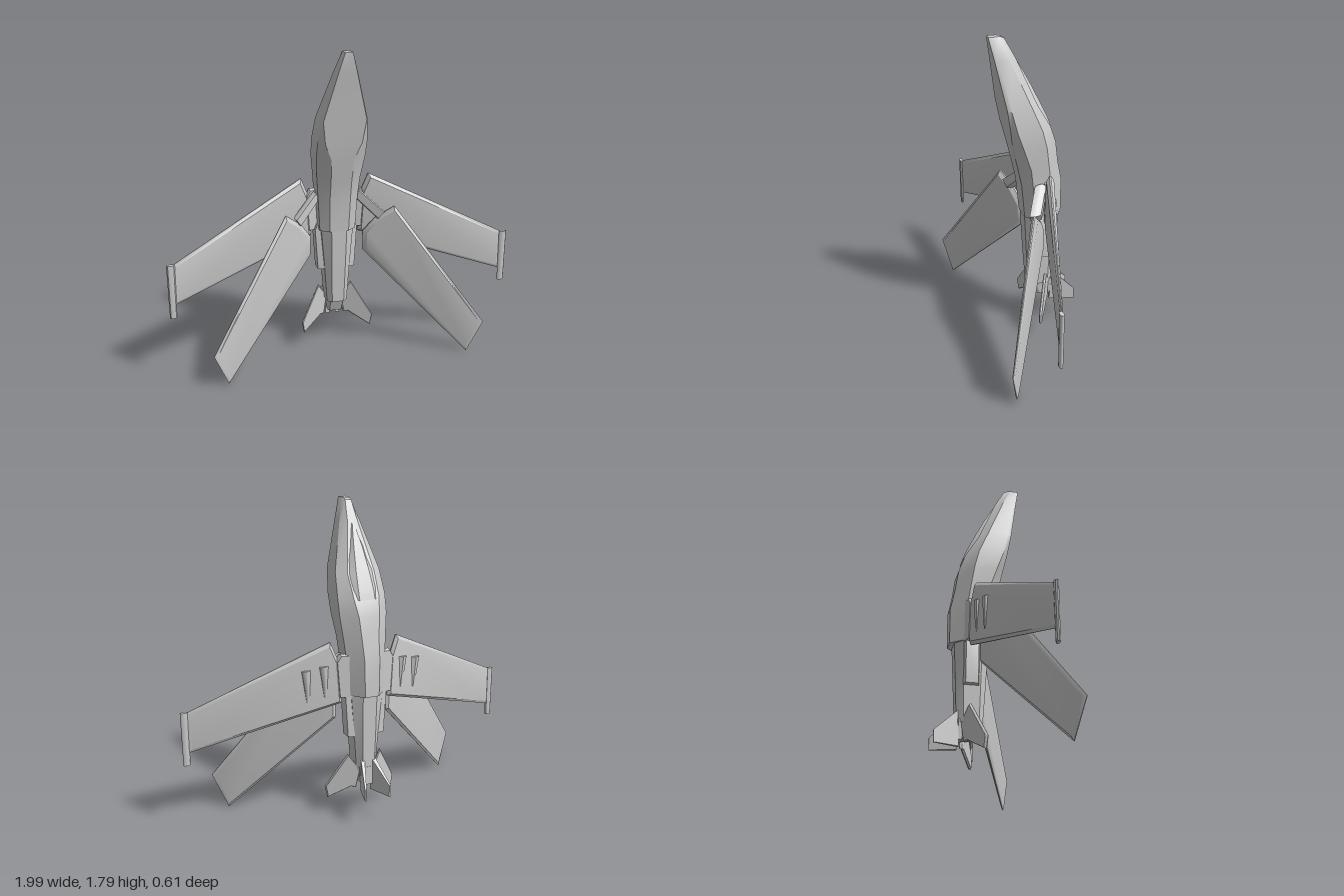
import * as THREE from 'three';
import { toCreasedNormals } from 'three/addons/utils/BufferGeometryUtils.js';

const material = new THREE.MeshStandardMaterial({ color: 0xcccccc });

function finish(positions) {
  const g = new THREE.BufferGeometry();
  g.setAttribute('position', new THREE.Float32BufferAttribute(positions, 3));
  return toCreasedNormals(g, 0.5);
}

// Skin rings of [x, y, z] ordered bottom to top, each running front -> +x -> back -> -x
function loft(rings) {
  const out = [], n = rings[0].length;
  const tri = (a, b, c) => out.push(...a, ...b, ...c);
  for (let i = 0; i < rings.length - 1; i++) {
    for (let j = 0; j < n; j++) {
      const k = (j + 1) % n;
      const a = rings[i][j], b = rings[i][k], c = rings[i + 1][k], d = rings[i + 1][j];
      tri(a, b, c);
      tri(a, c, d);
    }
  }
  const top = rings[rings.length - 1];
  for (let j = 1; j < n - 1; j++) {
    tri(rings[0][0], rings[0][j + 1], rings[0][j]);
    tri(top[0], top[j], top[j + 1]);
  }
  return finish(out);
}

// Octagonal section: belly half width/z, side half width and z range, back half width/z
function octagon([y, bw, zf, sw, z1, z2, tw, zb]) {
  return [[bw, y, zf], [sw, y, z1], [sw, y, z2], [tw, y, zb],
    [-tw, y, zb], [-sw, y, z2], [-sw, y, z1], [-bw, y, zf]];
}

// Bevelled panel from an (x, y) outline, canted so that z depends on x
function panel(outline, cant, thickness, bevel) {
  const shape = new THREE.Shape(outline.map(p => new THREE.Vector2(...p)));
  const g = new THREE.ExtrudeGeometry(shape, {
    depth: 0.2, bevelEnabled: true, bevelSegments: 1,
    bevelThickness: 0.4, bevelSize: bevel, bevelOffset: -bevel,
  });
  const p = g.attributes.position;
  for (let i = 0; i < p.count; i++) {
    const x = p.getX(i);
    p.setZ(i, cant(x) + (p.getZ(i) - 0.1) * thickness(x));
  }
  return finish(p.array);
}

// Reflect across x = 0, reversing the corner order
function mirrored(geometry) {
  const g = geometry.index ? geometry.toNonIndexed() : geometry;
  const p = g.attributes.position, out = [];
  for (let i = 0; i < p.count; i += 3) {
    for (const k of [i, i + 2, i + 1]) out.push(-p.getX(k), p.getY(k), p.getZ(k));
  }
  return finish(out);
}

export function createModel() {
  const model = new THREE.Group();
  model.name = 'aircraft';
  const add = (name, geometry) => {
    const mesh = new THREE.Mesh(geometry, material);
    mesh.name = name;
    model.add(mesh);
  };
  const addPair = (name, geometry) => {
    add(name + 'Left', geometry);
    add(name + 'Right', mirrored(geometry));
  };

  // Nose-up fuselage, belly towards +z, its back stepping in behind the wings
  add('fuselage', loft([
    [0.735, 0.055, 0.0, 0.105, -0.04, -0.145, 0.042, -0.22],
    [0.94, 0.06, 0.02, 0.117, -0.03, -0.135, 0.045, -0.22],
    [1.05, 0.06, 0.044, 0.127, -0.015, -0.12, 0.05, -0.197],
    [1.18, 0.065, 0.075, 0.141, 0.03, -0.1, 0.06, -0.178],
    [1.28, 0.105, 0.095, 0.142, 0.065, -0.075, 0.075, -0.142],
    [1.41, 0.122, 0.118, 0.132, 0.098, -0.02, 0.08, -0.065],
    [1.67, 0.054, 0.166, 0.06, 0.153, 0.085, 0.03, 0.043],
    [1.78, 0.024, 0.188, 0.027, 0.178, 0.135, 0.018, 0.102],
    [1.79, 0.018, 0.188, 0.022, 0.178, 0.14, 0.015, 0.125],
  ].map(octagon)));

  // Tapering engine section and exhaust
  add('rearFuselage', loft([
    [0.28, 0.035, -0.03, 0.06, -0.055, -0.14, 0.035, -0.175],
    [0.5, 0.04, -0.015, 0.075, -0.05, -0.145, 0.04, -0.183],
    [0.74, 0.045, -0.002, 0.095, -0.045, -0.15, 0.042, -0.193],
  ].map(octagon)));
  add('exhaust', loft([
    [0.2, 0.035, -0.085, 0.043, -0.1, -0.14, 0.03, -0.165],
    [0.29, 0.04, -0.05, 0.05, -0.07, -0.145, 0.032, -0.172],
  ].map(octagon)));
  add('tailFairing', loft([
    [0.19, 0.035, -0.14, 0.038, -0.15, -0.165, 0.025, -0.177],
    [0.3, 0.045, -0.13, 0.05, -0.145, -0.165, 0.03, -0.178],
  ].map(octagon)));

  // Canopy with a pointed front and a ridged roof
  const canopy = [[1.27, 0.09, -0.115, 0.045, -0.153], [1.32, 0.1, -0.09, 0.045, -0.135],
    [1.42, 0.088, -0.04, 0.038, -0.088], [1.54, 0.054, 0.015, 0.025, -0.03],
    [1.66, 0.012, 0.06, 0.006, 0.035]];
  add('canopy', loft(canopy.map(([y, w, z, rw, rz]) =>
    [[w, y, z + 0.03], [w, y, z], [rw, y, rz], [-rw, y, rz], [-w, y, z], [-w, y, z + 0.03]])));

  // Side nacelles
  addPair('nacelle', loft([[0.485, 0.06, 0.11], [0.73, 0.06, 0.125], [0.76, 0.06, 0.112]]
    .map(([y, a, b]) => [[a, y, -0.055], [b, y, -0.07], [b, y, -0.14], [a, y, -0.15]])));

  // Rear pair of wings, with root blocks and tip rods
  const upperCant = x => -0.106 + (x - 0.17) * 0.27;
  addPair('upperWing', panel(
    [[0.2, 1.042], [0.155, 0.93], [0.14, 0.69], [0.96, 0.445], [0.96, 0.68]],
    upperCant, x => 0.052 - 0.037 * x, 0.018));
  addPair('upperWingRoot', panel(
    [[0.07, 0.97], [0.07, 0.72], [0.16, 0.72], [0.175, 0.93], [0.15, 0.97]],
    upperCant, () => 0.05, 0.006));
  const rod = new THREE.CylinderGeometry(0.023, 0.02, 0.31, 8);
  rod.scale(1, 1, 0.55);
  rod.translate(0.974, 0.525, 0.112);
  addPair('wingTipRod', rod);

  // Tapered ribs on the back of each rear wing
  [[0.235, 0.82], [0.33, 0.8]].forEach(([x, y], i) => {
    const rib = new THREE.CylinderGeometry(0.028, 0.012, 0.18, 6);
    rib.scale(1, 1, 0.75);
    rib.rotateZ(-0.06);
    rib.translate(x, y, upperCant(x) - 0.016);
    addPair('wingRib' + (i + 1), rib);
  });

  // Front pair of swept wings, carried on diagonal arms
  const lowerCant = x => 0.3 + (x - 0.785) * 0.577;
  addPair('lowerWing', panel(
    [[0.32, 0.872], [0.22, 0.79], [0.157, 0.7], [0.157, 0.587], [0.708, 0], [0.788, 0.2]],
    lowerCant, x => 0.055 - 0.05 * x, 0.018));
  addPair('lowerWingArm', panel(
    [[0.09, 0.93], [0.23, 0.79], [0.265, 0.84], [0.13, 0.965]],
    x => lowerCant(x) + 0.01, () => 0.065, 0.006));

  // Splayed belly fins
  addPair('bellyFin', panel(
    [[0.1, 0.37], [0.04, 0.28], [0.06, 0.165], [0.085, 0.17], [0.205, 0.095], [0.217, 0.165]],
    x => -0.11 + (x - 0.1) * 0.57, () => 0.018, 0.005));

  // Splayed dorsal fins: outline of [y, z], leaning outwards towards the back
  const finOutline = [[0.35, -0.165], [0.22, -0.302], [0.152, -0.302], [0.15, -0.16]];
  const finRing = side => finOutline.map(([y, z]) =>
    [0.03 + (-z - 0.16) * 0.32 + side * (z < -0.25 ? 0.005 : 0.012), y, z]);
  addPair('dorsalFin', loft([finRing(1), finRing(-1)]));

  return model;
}
